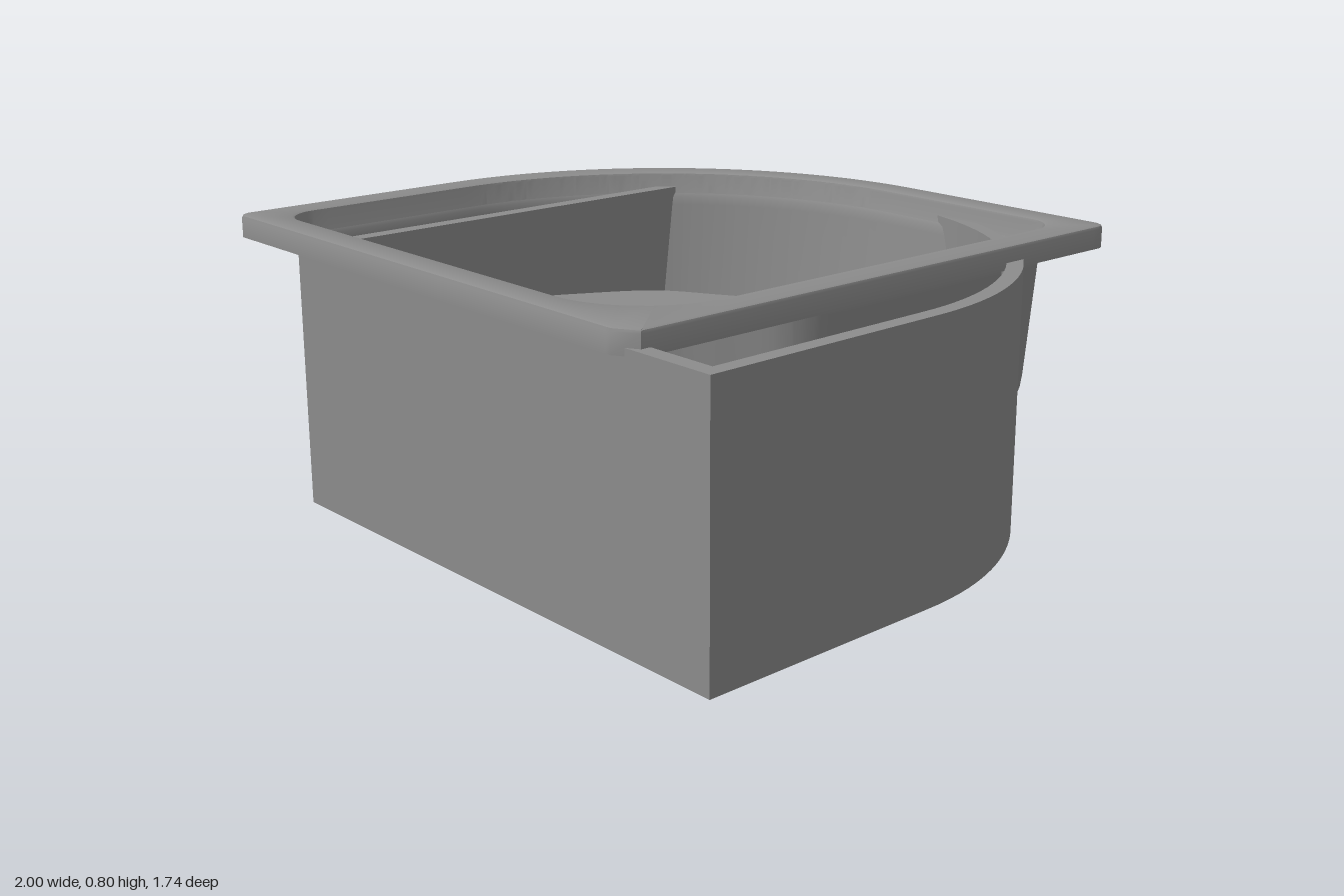
import * as THREE from 'three';
import { toCreasedNormals } from 'three/addons/utils/BufferGeometryUtils.js';

const CENTER = new THREE.Vector2(-0.1, -0.05);

// Plan outline (x, z) with one large rounded corner at the back, on the -x or +x side
function roundedCorner(pts, cx, cz, rx, rz, from, to, n) {
  for (let i = 0; i <= n; i++) {
    const t = from + (to - from) * i / n;
    pts.push(new THREE.Vector2(cx + rx * Math.cos(t), cz + rz * Math.sin(t)));
  }
}

// Tub plan: large back corner, small others, own radius or curve for the front corner
function tubOutline(x0, x1, z0, z1, rx, rz, r, frontR, seatCurve) {
  const p = [], P = Math.PI;
  roundedCorner(p, x0 + rx, z0 + rz, rx, rz, P, 1.5 * P, 40);
  roundedCorner(p, x1 - r, z0 + r, r, r, 1.5 * P, 2 * P, 8);
  if (seatCurve) p.push(...seatCurve);
  else roundedCorner(p, x1 - frontR, z1 - frontR, frontR, frontR, 0, P / 2, 16);
  roundedCorner(p, x0 + r, z1 - r, r, r, P / 2, P, 8);
  return p;
}

// Distance from the centre to an outline along an angle
function rayPoint(poly, angle) {
  const dx = Math.cos(angle), dz = Math.sin(angle);
  let best = 0;
  poly.forEach((p, i) => {
    const q = poly[(i + 1) % poly.length];
    const ax = p.x - CENTER.x, az = p.y - CENTER.y;
    const ex = q.x - p.x, ez = q.y - p.y;
    const den = dx * ez - dz * ex;
    if (Math.abs(den) < 1e-10) return;
    const t = (ax * ez - az * ex) / den;
    const u = (ax * dz - az * dx) / den;
    if (t > 0 && u >= -1e-6 && u <= 1 + 1e-6) best = Math.max(best, t);
  });
  return new THREE.Vector2(CENTER.x + dx * best, CENTER.y + dz * best);
}

// Move a ring inwards along its plan normals
function inset(ring, d) {
  const n = ring.length;
  return ring.map((p, i) => {
    const t = ring[(i + 1) % n].clone().sub(ring[(i + n - 1) % n]).normalize();
    return new THREE.Vector2(p.x - t.y * d, p.y + t.x * d);
  });
}

function loft(rings) {
  const n = rings[0].pts.length, pos = [], idx = [];
  rings.forEach(({ pts, y }) => pts.forEach(p => pos.push(p.x, y, p.y)));
  for (let i = 0; i < rings.length - 1; i++) {
    for (let j = 0; j < n; j++) {
      const k = (j + 1) % n;
      const a = i * n + j, b = i * n + k, c = a + n, d = b + n;
      idx.push(a, c, b, b, c, d);
    }
  }
  const g = new THREE.BufferGeometry();
  g.setAttribute('position', new THREE.Float32BufferAttribute(pos, 3));
  g.setIndex(idx);
  return toCreasedNormals(g, 0.7);
}

export function createModel() {
  const model = new THREE.Group();
  const grey = new THREE.MeshStandardMaterial({ color: 0x8c8c8c, side: THREE.DoubleSide });
  grey.name = 'grey';
  const add = (name, geometry) => {
    const m = new THREE.Mesh(geometry, grey);
    m.name = name;
    model.add(m);
  };

  // Plans of the rim, its opening and the basin with the corner seat cut out
  const seatCurve = new THREE.CatmullRomCurve3([
    [0.655, -0.02], [0.65, 0.1], [0.6, 0.21], [0.45, 0.305], [0.3, 0.4],
    [0.19, 0.58], [0.12, 0.72], [0.06, 0.765], [-0.04, 0.775],
  ].map(([x, z]) => new THREE.Vector3(x, z, 0))).getPoints(48)
    .map(p => new THREE.Vector2(p.x, p.y));
  const outlines = [
    tubOutline(-1, 0.75, -0.875, 0.867, 1.02, 0.995, 0.035, 0.035),
    tubOutline(-0.905, 0.655, -0.78, 0.775, 0.925, 0.9, 0.1, 0.28),
    tubOutline(-0.905, 0.655, -0.78, 0.775, 0.925, 0.9, 0.1, 0, seatCurve),
  ];

  // Shared angles so that every ring has matching points
  const all = Array.from({ length: 180 }, (_, i) => -Math.PI + i * Math.PI / 90);
  outlines.flat().forEach(p => all.push(Math.atan2(p.y - CENTER.y, p.x - CENTER.x)));
  all.sort((a, b) => a - b);
  const angles = all.filter((a, i) => i === 0 || a - all[i - 1] > 0.003);
  const [rim, opening, basin] = outlines.map(o => angles.map(a => rayPoint(o, a)));
  const rings = (ring, list) => list.map(([d, y]) => ({ pts: inset(ring, d), y }));

  // Rim with a downturned lip, and the shallow seat ledge
  const rimRings = [
    ...rings(rim, [[0.02, 0.785], [0.02, 0.735], [0, 0.735], [0, 0.79], [0.003, 0.797], [0.01, 0.8]]),
    ...rings(opening, [[-0.01, 0.8], [-0.003, 0.797], [0, 0.79], [0.003, 0.737]]),
    ...rings(basin, [[0.004, 0.735]]),
  ];
  add('tubRim', loft(rimRings));

  // Tapered basin wall curving into the floor
  const wall = rings(basin, [[0.004, 0.735], [0.009, 0.725], [0.012, 0.7], [0.04, 0.36],
    [0.045, 0.325], [0.054, 0.298], [0.07, 0.28], [0.085, 0.272], [0.1, 0.27]]);
  add('basinWall', loft(wall));

  // Floor with drain hole
  const drainX = 0.435, drainZ = -0.56;
  const floor = new THREE.Shape(wall[wall.length - 1].pts);
  floor.holes.push(new THREE.Path().absarc(drainX, drainZ, 0.065, 0, Math.PI * 2, true));
  const floorGeo = new THREE.ShapeGeometry(floor, 20);
  floorGeo.rotateX(Math.PI / 2).translate(0, 0.27, 0);
  add('basinFloor', floorGeo);
  const drain = new THREE.CylinderGeometry(0.065, 0.055, 0.008, 40, 1, true);
  drain.translate(drainX, 0.266, drainZ);
  add('drainRim', drain);

  // Surrounding skirt: a hollow wall with one curved back corner
  const skirtPlan = (x0, x1, z0, z1, xc, zc) => {
    const p = [new THREE.Vector2(x0, z1), new THREE.Vector2(x0, z0)];
    roundedCorner(p, xc, zc, x1 - xc - 0.01, zc - z0, -Math.PI / 2, 0, 32);
    p.push(new THREE.Vector2(x1, z1));
    return p;
  };
  const skirt = new THREE.Shape(skirtPlan(-0.695, 1, -0.85, 0.85, -0.02, 0.12));
  skirt.holes.push(new THREE.Path(skirtPlan(-0.65, 0.955, -0.805, 0.803, -0.02, 0.12)));
  const skirtGeo = new THREE.ExtrudeGeometry(skirt, { depth: 0.755, bevelEnabled: false });
  skirtGeo.rotateX(Math.PI / 2).translate(0, 0.755, 0);
  add('skirt', toCreasedNormals(skirtGeo, 0.5));

  return model;
}
